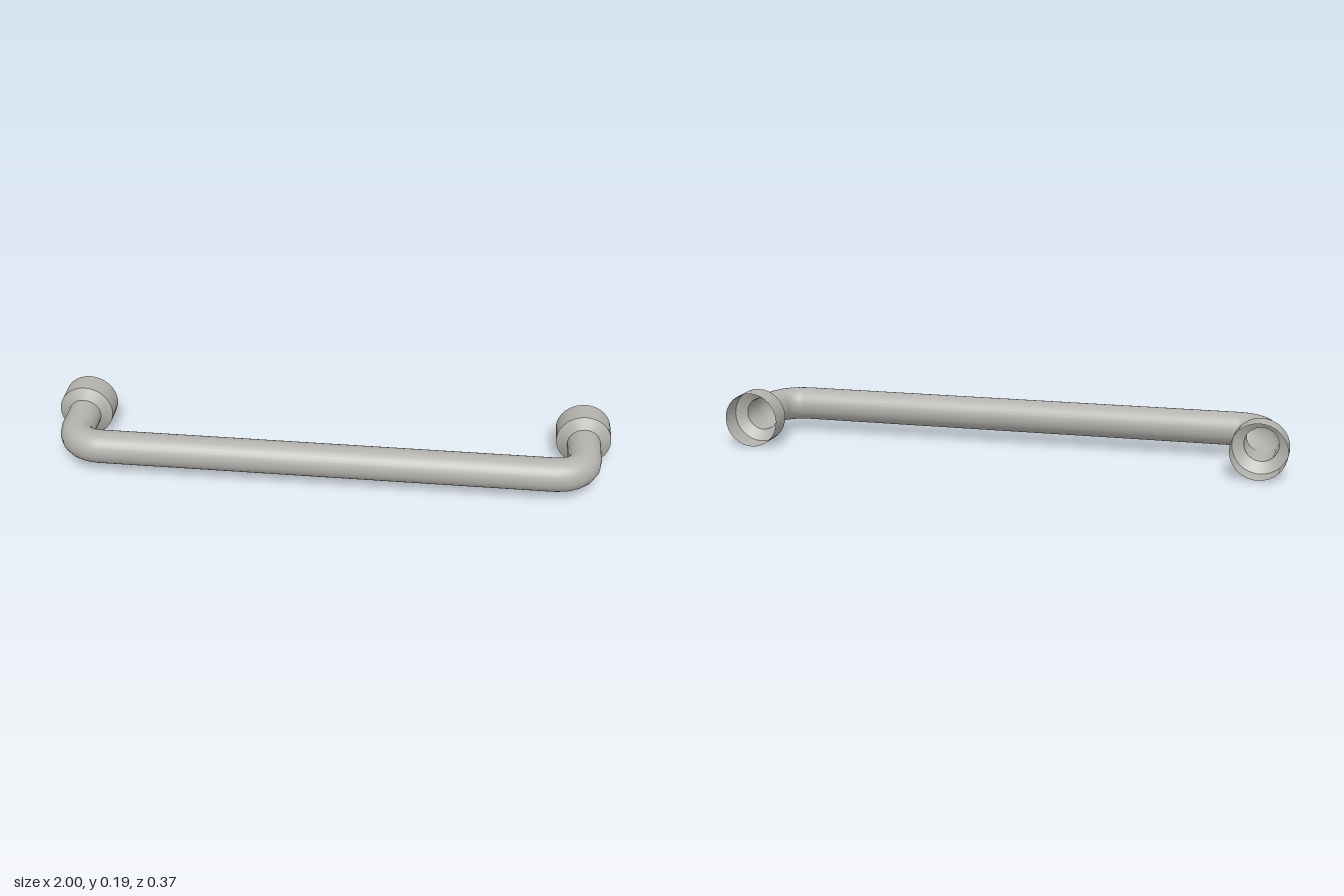
import * as THREE from 'three';

const SIDES = 32;
const TUBE_R = 0.059, FLANGE_R = 0.097, BEND_R = 0.1;
const POST_X = 0.903, BAR_Z = 0.126;
const BEND_X = POST_X - BEND_R, BEND_Z = BAR_Z - BEND_R;
const CONE_FRONT = -0.077, CONE_BACK = -0.1, WALL_Z = -0.185;

export function createModel() {
  const steel = new THREE.MeshStandardMaterial({ color: 0xb3b2ae, side: THREE.DoubleSide });
  steel.name = 'brushed steel';

  const add = (parent, name, geometry) => {
    const mesh = new THREE.Mesh(geometry, steel);
    mesh.name = name;
    parent.add(mesh);
    return mesh;
  };

  // Open round section along z, from the front z to the back z
  const sectionZ = (frontR, backR, frontZ, backZ) =>
    new THREE.CylinderGeometry(frontR, backR, frontZ - backZ, SIDES, 1, true)
      .rotateX(Math.PI / 2)
      .translate(POST_X, 0, (frontZ + backZ) / 2);

  const model = new THREE.Group();
  model.name = 'grabBar';

  // Long straight grip
  const grip = add(model, 'grip',
    new THREE.CylinderGeometry(TUBE_R, TUBE_R, 2 * BEND_X, SIDES, 1, true).rotateZ(Math.PI / 2));
  grip.position.set(0, FLANGE_R, BAR_Z);

  // Each end: bend, post and hollow wall flange
  for (const side of ['left', 'right']) {
    const end = new THREE.Group();
    end.name = side + 'End';
    add(end, side + 'Bend',
      new THREE.TorusGeometry(BEND_R, TUBE_R, SIDES, 5, Math.PI / 2)
        .rotateX(Math.PI / 2)
        .translate(BEND_X, 0, BEND_Z));
    add(end, side + 'Post', sectionZ(TUBE_R, TUBE_R, BEND_Z, CONE_FRONT));
    add(end, side + 'FlangeCone', sectionZ(TUBE_R, FLANGE_R, CONE_FRONT, CONE_BACK));
    add(end, side + 'FlangeCup', sectionZ(FLANGE_R, FLANGE_R, CONE_BACK, WALL_Z));
    end.position.y = FLANGE_R;
    if (side === 'right') end.rotation.z = Math.PI;
    model.add(end);
  }
  return model;
}
